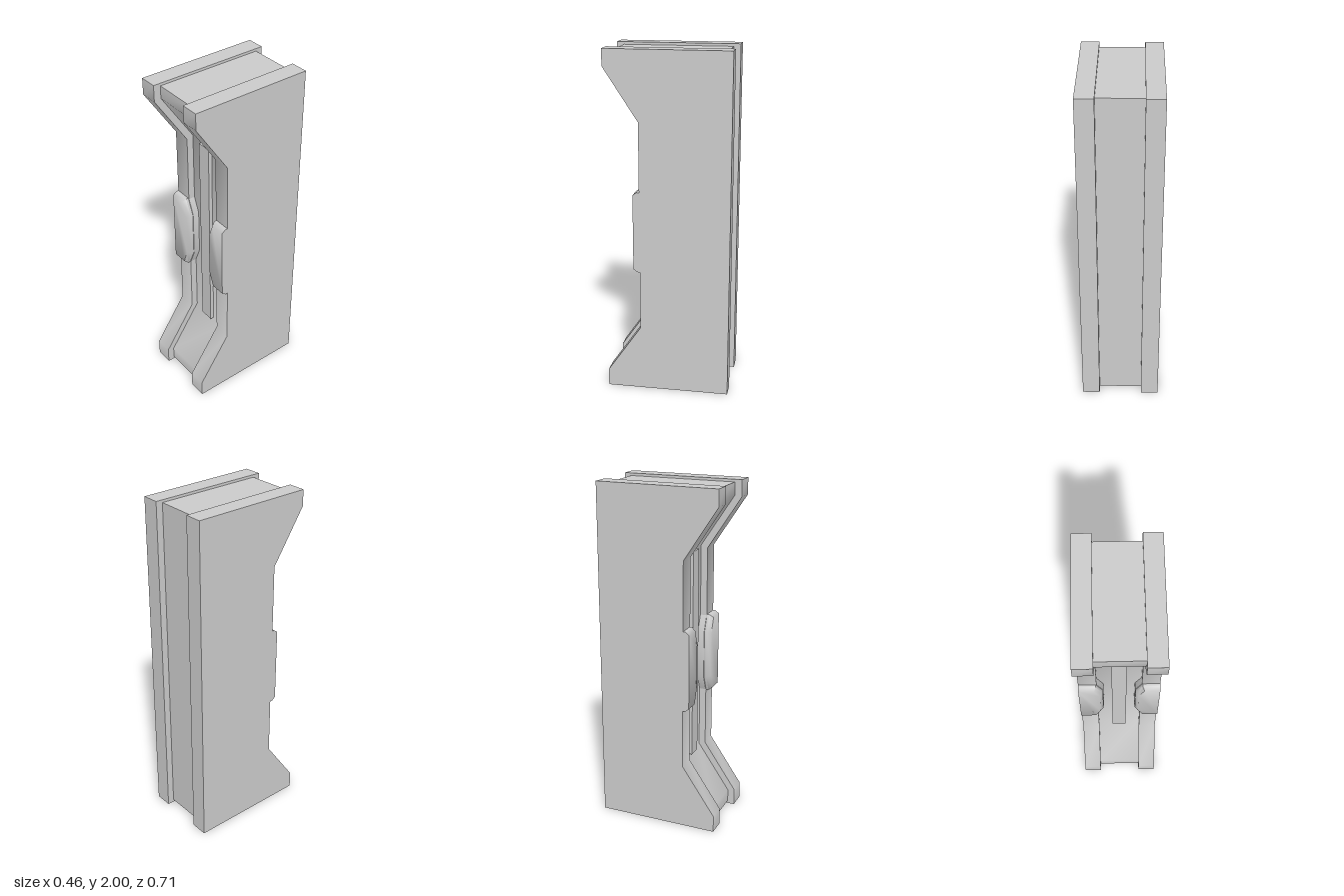
import * as THREE from 'three';
import { toCreasedNormals } from 'three/addons/utils/BufferGeometryUtils.js';

const MID_Y = 0.97; // height of the pads' centre

// Side profile given as [z, y] points, extruded across x and centred on x = 0
function profileGeometry(points, width) {
  const shape = new THREE.Shape(points.map(([z, y]) => new THREE.Vector2(z, y)));
  const geo = new THREE.ExtrudeGeometry(shape, { depth: width, bevelEnabled: false });
  geo.translate(0, 0, -width / 2).rotateY(-Math.PI / 2);
  return toCreasedNormals(geo, 0.7);
}

// Six-sided pad lofted through rings, with y measured from the pad's centre
function padGeometry() {
  const ring = (z, inset, outer) => {
    const h = 0.24 - inset, hi = 0.14 - inset * 0.4, x = 0.09 + inset, xs = 0.13 + inset * 0.6;
    return [[outer, -h], [outer, h], [xs, h], [x, hi], [x, -hi], [xs, -h]]
      .map(([px, py]) => [px, py, z]);
  };
  const rings = [
    ring(0.1, 0, 0.225), ring(0.159, 0, 0.225), ring(0.16, 0.003, 0.23),
    ring(0.175, 0.003, 0.23), ring(0.197, 0.02, 0.23),
  ];
  const pos = [];
  const tri = (a, b, c) => pos.push(...a, ...b, ...c);
  for (let k = 0; k < rings.length - 1; k++) {
    for (let i = 0; i < 6; i++) {
      const j = (i + 1) % 6, lo = rings[k], hi = rings[k + 1];
      tri(lo[i], lo[j], hi[j]);
      tri(lo[i], hi[j], hi[i]);
    }
  }
  const top = rings[rings.length - 1];
  for (let i = 1; i < 5; i++) tri(top[0], top[i], top[i + 1]);
  const geo = new THREE.BufferGeometry();
  geo.setAttribute('position', new THREE.Float32BufferAttribute(pos, 3));
  return toCreasedNormals(geo, 0.95);
}

export function createModel() {
  const group = new THREE.Group();
  const material = new THREE.MeshStandardMaterial({ color: 0xcccccc });
  const add = (name, geo) => {
    const mesh = new THREE.Mesh(geo, material);
    mesh.name = name;
    group.add(mesh);
    return mesh;
  };

  // Recessed core between the two side plates
  add('core', profileGeometry([
    [-0.317, 0.015], [0.316, 0.015], [0.316, 0.09], [0.12, 0.373],
    [0.12, 1.617], [0.316, 1.912], [0.316, 1.985], [-0.317, 1.985],
  ], 0.256));

  // Side plates with flared ends, and the grip pads on their front edges
  const plate = profileGeometry([
    [-0.357, 0], [0.357, 0], [0.357, 0.1], [0.16, 0.385],
    [0.16, 1.605], [0.357, 1.905], [0.357, 2], [-0.357, 2],
  ], 0.103);
  const pad = padGeometry();
  for (const side of [1, -1]) {
    const name = side > 0 ? 'left' : 'right';
    add(name + 'SidePlate', plate).position.x = side * 0.1785;
    const padMesh = add(name + 'Pad', pad);
    padMesh.position.y = MID_Y;
    if (side < 0) padMesh.rotation.z = Math.PI; // pad is symmetric top to bottom
  }

  // Raised strip down the middle of the recess
  const strip = new THREE.BoxGeometry(0.084, 1.24, 0.05);
  add('centreStrip', strip).position.set(0, 0.995, 0.117);

  return group;
}
